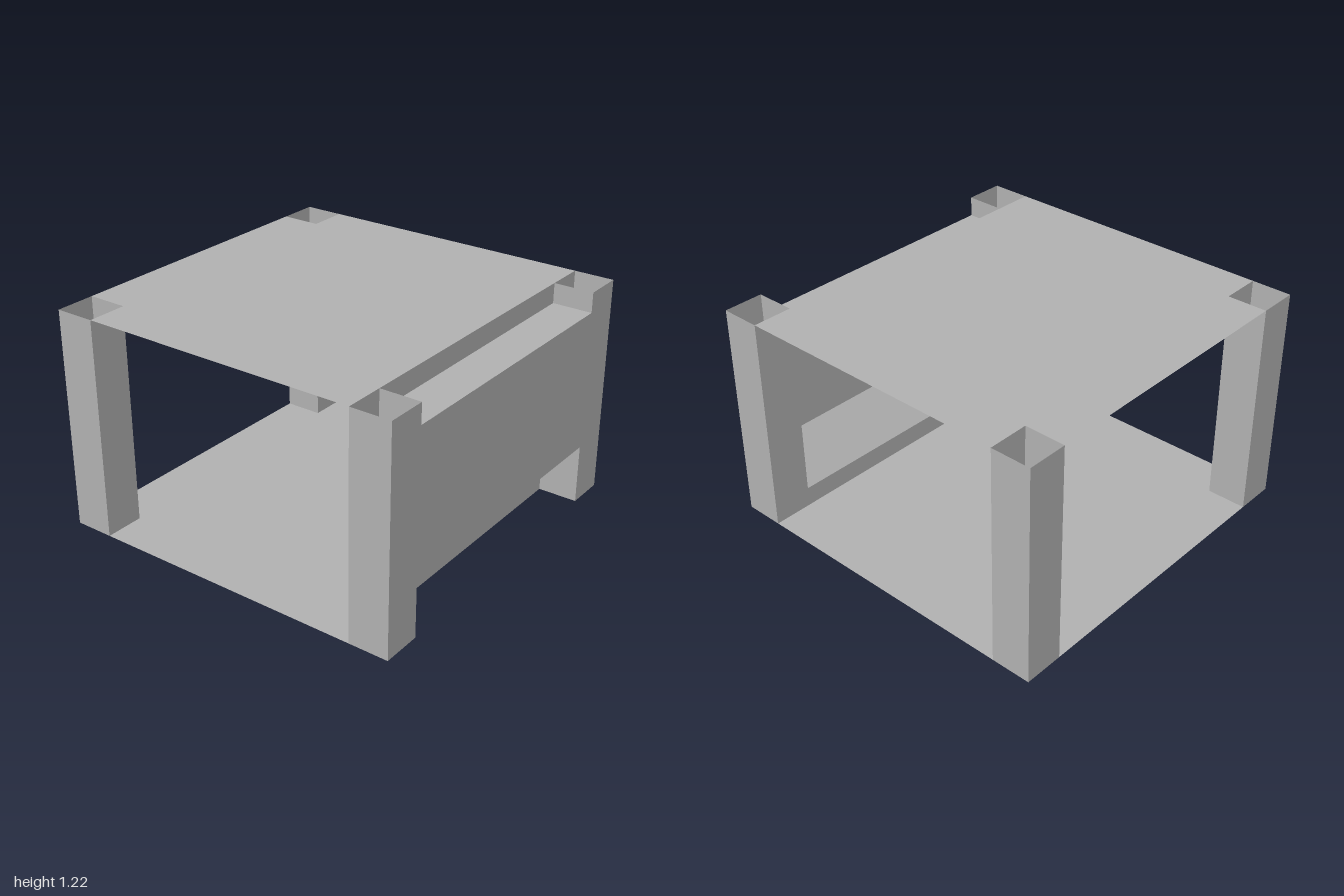
import * as THREE from 'three';

const U = 1 / 9;          // design grid
const H = 11 * U;         // full height
const IN = 7 * U;         // inner edge of the corner posts

export function createModel() {
  const group = new THREE.Group();
  group.name = 'openFrameHousing';
  const grey = new THREE.MeshStandardMaterial({ color: 0xb2b2b2 });
  grey.name = 'plain grey';
  grey.side = THREE.DoubleSide;
  grey.flatShading = true;

  const add = (geometry, name) => {
    const mesh = new THREE.Mesh(geometry, grey);
    mesh.name = name;
    group.add(mesh);
    return mesh;
  };

  // Four hollow square corner posts, open at top and bottom
  const radius = U * Math.SQRT2;
  const postGeometry = new THREE.CylinderGeometry(radius, radius, H, 4, 1, true, Math.PI / 4)
    .toNonIndexed();
  postGeometry.computeVertexNormals();
  for (const x of [-1, 1]) {
    for (const z of [-1, 1]) {
      const post = add(postGeometry, (z > 0 ? 'front' : 'back') + (x > 0 ? 'Left' : 'Right') + 'Post');
      post.position.set(x * 8 * U, H / 2, z * 8 * U);
    }
  }

  // Thin top and floor sheets, notched around the posts
  const outline = new THREE.Shape([
    [-1, -IN], [-IN, -IN], [-IN, -1], [IN, -1], [IN, 1], [-IN, 1], [-IN, IN], [-1, IN],
  ].map(([x, y]) => new THREE.Vector2(x, y)));
  const sheet = new THREE.ShapeGeometry(outline);
  add(sheet.clone().rotateX(-Math.PI / 2), 'topSheet').position.y = H;
  add(sheet.clone().rotateX(Math.PI / 2), 'floorSheet');

  // Folded side panel: top ledge, upright wall, sloped underside and low skirt
  const profile = [[IN, H], [IN, 10 * U], [1, 10 * U], [1, 3 * U], [IN, U], [IN, 0]];
  const folded = new THREE.PlaneGeometry(1, 1, 1, profile.length - 1);
  const position = folded.attributes.position;
  for (let i = 0; i < position.count; i++) {
    const [x, y] = profile[Math.floor(i / 2)];
    position.setXYZ(i, x, y, i % 2 ? -IN : IN);
  }
  const panel = folded.toNonIndexed();
  panel.computeVertexNormals();
  add(panel, 'sidePanel');

  return group;
}
